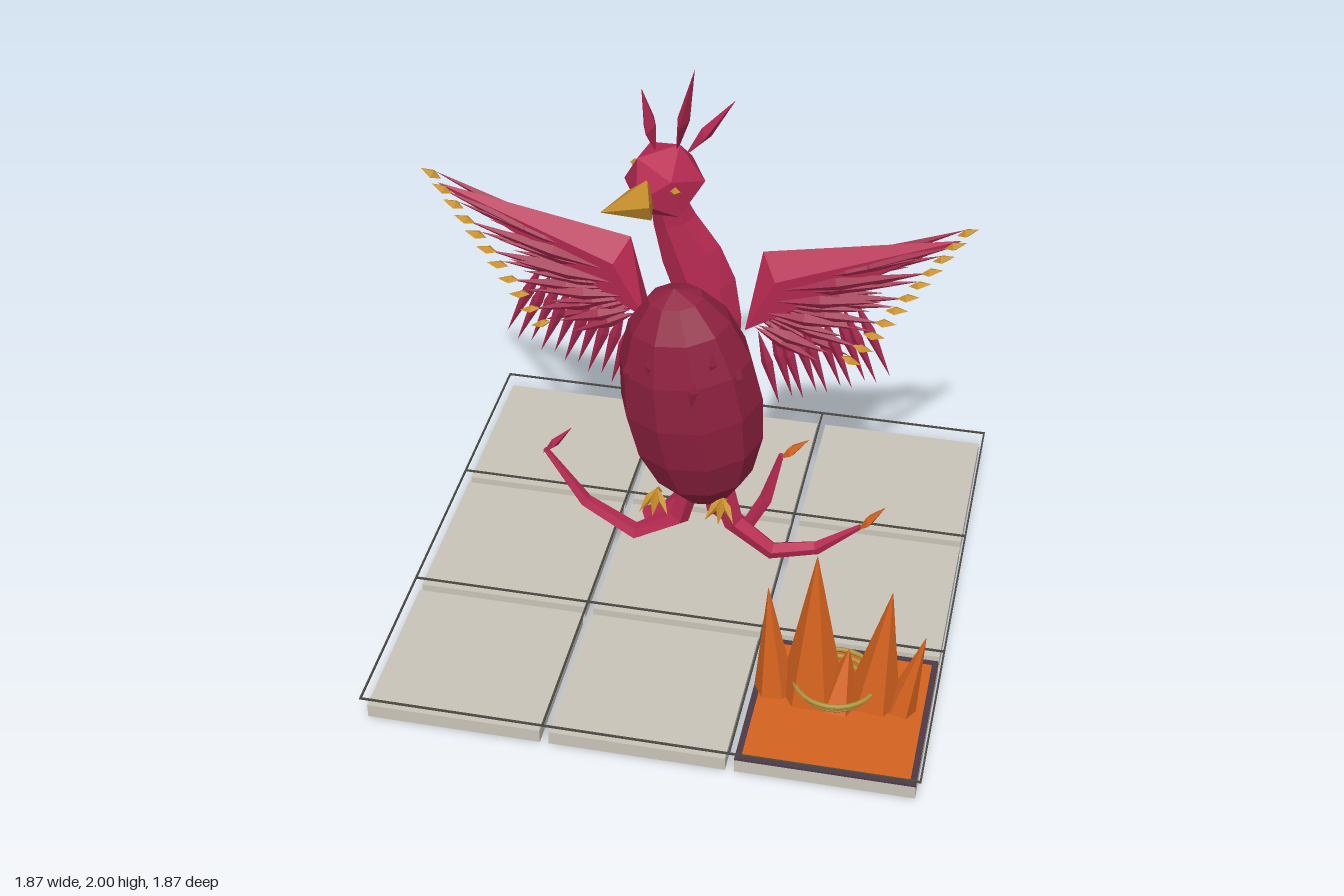
import * as THREE from 'three';
import { ConvexGeometry } from 'three/addons/geometries/ConvexGeometry.js';

const material = (name, color, flatShading = true) => {
  const m = new THREE.MeshStandardMaterial({ color, flatShading });
  m.name = name;
  return m;
};
const V = (x, y, z) => new THREE.Vector3(x, y, z);
const mix = (a, b, t) => a + (b - a) * t;

// Closed loft along a path; each section is [x, y, z, half width, half depth].
function loft(sections, sides) {
  const pos = [];
  const rings = sections.map(([x, y, z, w, d], i) => {
    const a = sections[Math.max(0, i - 1)], b = sections[Math.min(sections.length - 1, i + 1)];
    const t = new THREE.Vector2(b[0] - a[0], b[1] - a[1]).normalize();
    return Array.from({ length: sides }, (_, j) => {
      const u = (j / sides) * Math.PI * 2;
      return [x - t.y * w * Math.cos(u), y + t.x * w * Math.cos(u), z + d * Math.sin(u)];
    });
  });
  const last = rings.length - 1;
  for (let j = 0; j < sides; j++) {
    const k = (j + 1) % sides;
    for (let i = 0; i < last; i++) {
      const [a, b, c, d] = [rings[i][j], rings[i][k], rings[i + 1][k], rings[i + 1][j]];
      pos.push(...a, ...b, ...c, ...a, ...c, ...d);
    }
    pos.push(...sections[0].slice(0, 3), ...rings[0][k], ...rings[0][j]);
    pos.push(...sections[last].slice(0, 3), ...rings[last][j], ...rings[last][k]);
  }
  const g = new THREE.BufferGeometry();
  g.setAttribute('position', new THREE.Float32BufferAttribute(pos, 3));
  g.computeVertexNormals();
  return g;
}

// Pointed four-sided blade from a to b, widest a little below the middle.
function blade(a, b, width, depth) {
  const g = new THREE.OctahedronGeometry(1, 0), p = g.attributes.position;
  for (let i = 0; i < p.count; i++) if (Math.abs(p.getY(i)) < 0.1) p.setY(i, -0.15);
  const y = b.clone().sub(a), len = y.length();
  y.normalize();
  const x = new THREE.Vector3().crossVectors(y, V(0, 0, 1)).normalize();
  const z = new THREE.Vector3().crossVectors(x, y);
  g.scale(width / 2, len / 2, depth / 2);
  g.applyMatrix4(new THREE.Matrix4().makeBasis(x, y, z).setPosition(a.clone().lerp(b, 0.5)));
  g.computeVertexNormals();
  return g;
}

export function createModel() {
  const root = new THREE.Group();
  root.name = 'birdOnTiles';
  const crimson = material('crimson', 0xb82a52);
  const bodyRed = material('deepCrimson', 0x8f2140);
  const featherRed = material('featherCrimson', 0xa0264a);
  const gold = material('gold', 0xc58d28);
  const brass = material('brass', 0xb0953c, false);
  const flame = material('flameOrange', 0xd4621f);
  const stone = material('stone', 0xc9c4b8);
  const line = material('darkLine', 0x4a4943);
  const frame = material('frame', 0x4d3a48);

  const add = (parent, name, geometry, mat, x = 0, y = 0, z = 0) => {
    const m = new THREE.Mesh(geometry, mat);
    m.name = name;
    m.position.set(x, y, z);
    parent.add(m);
    return m;
  };
  const group = (name) => {
    const g = new THREE.Group();
    g.name = name;
    root.add(g);
    return g;
  };

  // Floor of nine tiles with raised thin grid lines
  const floor = group('floor');
  for (const x of [-0.62, 0, 0.62])
    for (const z of [-0.62, 0, 0.62])
      add(floor, 'tile', new THREE.BoxGeometry(0.59, 0.05, 0.59), stone, x, 0.025, z);
  for (const p of [-0.93, -0.31, 0.31, 0.93]) {
    add(floor, 'gridLine', new THREE.BoxGeometry(1.866, 0.006, 0.006), line, 0, 0.092, p);
    add(floor, 'gridLine', new THREE.BoxGeometry(0.006, 0.006, 1.866), line, p, 0.092, 0);
  }

  // Fire tile: orange plate, dark border, leaning flames, rings
  const fire = group('fire');
  add(fire, 'firePlate', new THREE.BoxGeometry(0.57, 0.006, 0.57), flame, 0.62, 0.053, 0.62);
  for (const s of [-1, 1]) {
    add(fire, 'plateBorder', new THREE.BoxGeometry(0.59, 0.008, 0.02), frame, 0.62, 0.054, 0.62 + s * 0.285);
    add(fire, 'plateBorder', new THREE.BoxGeometry(0.02, 0.008, 0.55), frame, 0.62 + s * 0.285, 0.054, 0.62);
  }
  for (const [x0, y0, x1, y1, w, d] of [
    [0.405, 0.12, 0.375, 0.54, 0.07, 0.07], [0.53, 0.12, 0.53, 0.7, 0.11, 0.1],
    [0.62, 0.12, 0.645, 0.33, 0.07, 0.11], [0.73, 0.13, 0.775, 0.59, 0.09, 0.09],
    [0.82, 0.11, 0.89, 0.42, 0.055, 0.06],
  ]) add(fire, 'flame', loft([[x0, y0, 0.62, w, d], [x1, y1, 0.62, 0.001, 0.001]], 6), flame);
  for (const [y, r] of [[0.2, 0.138], [0.182, 0.125], [0.162, 0.112]])
    add(fire, 'fireRing', new THREE.TorusGeometry(r, 0.008, 6, 28).rotateX(Math.PI / 2), brass, 0.605, y, 0.625);

  // Body with small chest feathers
  const body = group('body');
  const torso = add(body, 'torso', new THREE.SphereGeometry(1, 10, 8), bodyRed, 0, 0.825, 0.035);
  torso.scale.set(0.245, 0.458, 0.205);
  torso.rotation.set(0.08, 0, 0.11);
  for (const [x, y, z] of [[-0.185, 0.98, 0.155], [0.18, 0.99, 0.13], [0.1, 1.06, 0.17], [-0.1, 1.04, 0.195], [0.05, 0.98, 0.225]])
    add(body, 'chestFeather', blade(V(x, y + 0.05, z), V(x - 0.01, y - 0.05, z + 0.01), 0.035, 0.03), bodyRed);

  // Neck flowing into a cape down the back
  add(body, 'neck', loft([
    [-0.115, 1.54, -0.1, 0.055, 0.05], [-0.09, 1.42, -0.13, 0.075, 0.065],
    [-0.04, 1.28, -0.15, 0.105, 0.075], [0, 1.16, -0.165, 0.11, 0.085],
    [0.02, 1.02, -0.165, 0.11, 0.085], [0.03, 0.9, -0.17, 0.095, 0.08],
  ], 7), crimson);

  // Head, beak, eyes and crest
  const head = group('head');
  const skull = add(head, 'skull', new THREE.IcosahedronGeometry(0.137, 0), crimson, -0.11, 1.6, -0.07);
  skull.rotation.set(0.1, 0.5, 0.15);
  add(head, 'beak', new ConvexGeometry([
    V(-0.29, 1.54, 0.075), V(-0.14, 1.665, 0.05), V(-0.12, 1.6, 0.11),
    V(-0.12, 1.535, 0.08), V(-0.19, 1.54, 0.02), V(-0.21, 1.6, 0.02), V(-0.13, 1.58, 0),
  ]), gold);
  for (const [x, z] of [[-0.05, 0.045], [-0.215, -0.105]])
    add(head, 'eye', new THREE.OctahedronGeometry(0.017, 0), gold, x, 1.63, z);
  for (const [x0, x1, y1, z1, d] of [[-0.14, -0.185, 1.92, -0.08, 0.12], [-0.075, -0.015, 2, -0.09, 0.15], [-0.045, 0.115, 1.9, -0.1, 0.12]])
    add(head, 'crestFeather', blade(V(x0, 1.69, -0.08), V(x1, y1, z1), 0.04, d), crimson);

  // Wings: solid arm, fanned layers of feathers, gold tips
  for (const s of [1, -1]) {
    const wing = group(s > 0 ? 'leftWing' : 'rightWing');
    add(wing, 'wingArm', new ConvexGeometry([
      V(0.22, 1.38, -0.05), V(0.86, 1.525, -0.02), V(0.17, 1.09, -0.09), V(0.17, 1.09, -0.01),
      V(0.27, 1.3, 0.005), V(0.27, 1.3, -0.095), V(0.45, 1.24, -0.05),
    ].map((p) => p.multiply(V(s, 1, 1)))), crimson);
    const layer = (name, count, rootA, rootB, tipA, tipB, z, width, tipped) => {
      for (let i = 0; i < count; i++) {
        const t = i / (count - 1), dz = z + (i % 2 ? 0.012 : -0.012);
        const a = V(s * mix(rootA[0], rootB[0], t), mix(rootA[1], rootB[1], t), -0.035 + dz);
        const b = V(s * mix(tipA[0], tipB[0], t), mix(tipA[1], tipB[1], t), -0.02 + dz);
        add(wing, name, blade(a, b, width, 0.03), featherRed);
        if (!tipped) continue;
        const dir = b.clone().sub(a).normalize();
        add(wing, 'goldTip', blade(b.clone().addScaledVector(dir, -0.03).setZ(-0.01),
          b.clone().addScaledVector(dir, 0.045).setZ(-0.01), 0.026, 0.05), gold);
      }
    };
    layer('primaryFeather', 11, [0.4, 1.33], [0.25, 1.12], [0.87, 1.56], [0.52, 1.02], 0, 0.05, true);
    layer('covertFeather', 9, [0.32, 1.3], [0.2, 1.1], [0.74, 1.45], [0.42, 1.0], 0.025, 0.05, false);
    layer('backCovertFeather', 9, [0.32, 1.3], [0.2, 1.1], [0.74, 1.45], [0.42, 1.0], -0.03, 0.05, false);
    layer('secondaryFeather', 10, [0.52, 1.24], [0.21, 1.08], [0.655, 0.95], [0.29, 0.8], -0.01, 0.04, false);
  }

  // Curling tail plumes with pointed ends
  const tail = group('tail');
  const plumes = [
    [[[-0.01, 0.46], [-0.06, 0.24], [-0.22, 0.14], [-0.4, 0.25], [-0.54, 0.46]], [-0.44, 0.57], -0.04, crimson],
    [[[0.03, 0.46], [0.06, 0.26], [0.17, 0.18], [0.24, 0.32], [0.29, 0.52]], [0.385, 0.6], -0.1, flame],
    [[[0.07, 0.45], [0.13, 0.23], [0.27, 0.12], [0.43, 0.16], [0.58, 0.28]], [0.665, 0.38], -0.06, flame],
    [[[0, 0.46], [-0.03, 0.3], [-0.12, 0.2], [-0.2, 0.17]], null, -0.11, crimson],
  ];
  for (const [path, tip, z, mat] of plumes) {
    const radii = [0.045, 0.038, 0.032, 0.025, 0.01];
    add(tail, 'tailPlume', loft(path.map(([x, y], i) => [x, y, z, radii[i], radii[i]]), 5), crimson);
    if (!tip) continue;
    const [x, y] = path[path.length - 1];
    add(tail, 'plumeTip', blade(V(x - 0.01, y - 0.02, z), V(tip[0], tip[1], z), 0.03, 0.07), mat);
  }

  // Feet with three forward toes and one back toe
  for (const s of [1, -1]) {
    const foot = group(s > 0 ? 'leftFoot' : 'rightFoot');
    const heel = V(s * 0.115, 0.44, 0.07);
    for (const [dx, dy, dz] of [[-0.05, -0.065, 0.06], [0, -0.065, 0.075], [0.05, -0.065, 0.06], [0, -0.06, -0.04]])
      add(foot, 'toe', blade(heel, heel.clone().add(V(dx, dy, dz)), 0.032, 0.032), gold);
  }
  return root;
}
